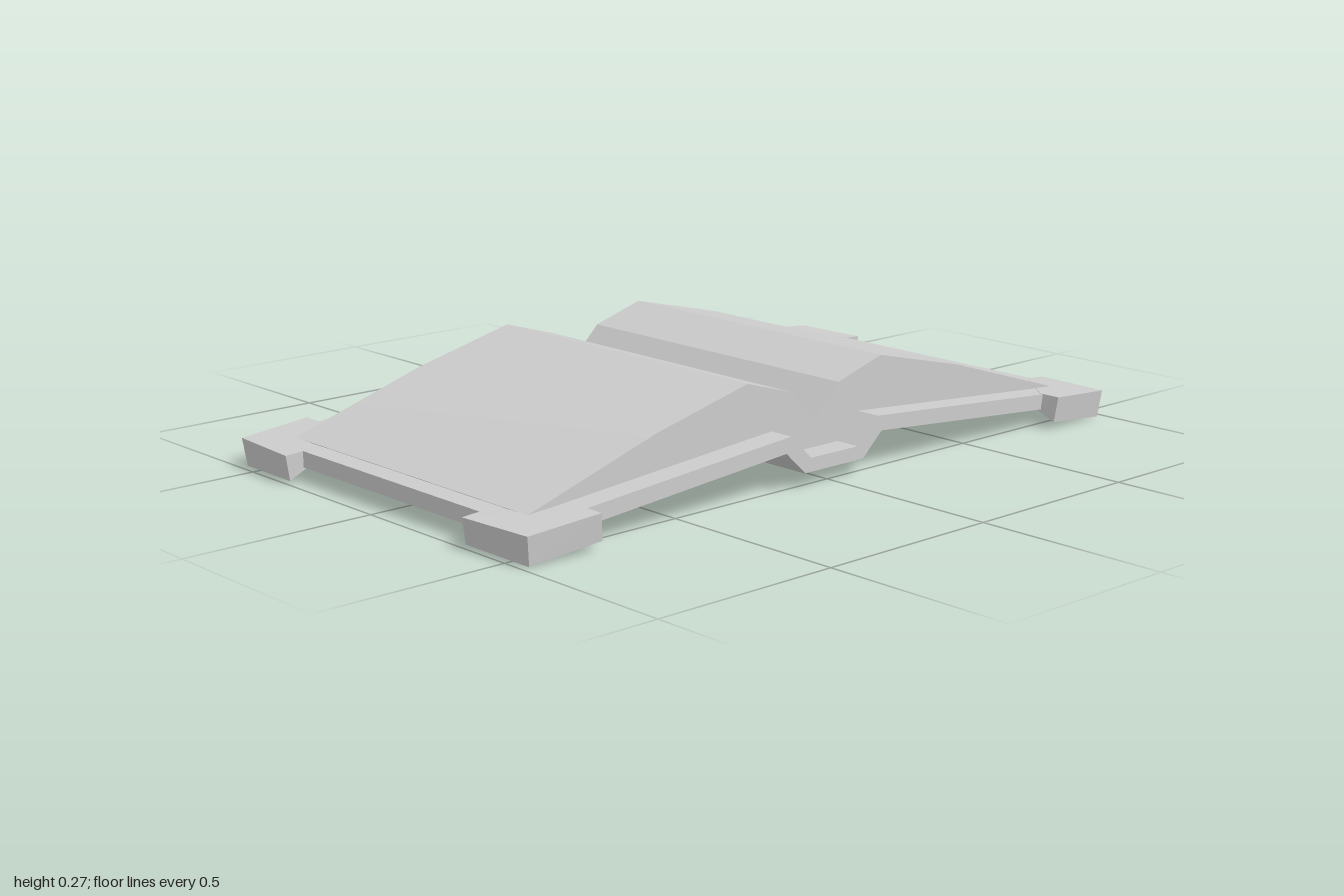
import * as THREE from 'three';
import { toCreasedNormals } from 'three/addons/utils/BufferGeometryUtils.js';
import { ConvexGeometry } from 'three/addons/geometries/ConvexGeometry.js';

const material = new THREE.MeshStandardMaterial({ color: 0xcccccc });

// Extrudes a left-right symmetric outline along z. Both edges run from the centre outwards.
function symmetricSlab(name, upper, lower, depth, crease) {
  const mirror = (pts) => pts.filter(([x]) => x > 0).map(([x, y]) => [-x, y]);
  const outline = [
    ...mirror(lower).reverse(), ...lower,
    ...[...upper].reverse(), ...mirror(upper),
  ];
  const shape = new THREE.Shape(outline.map(([x, y]) => new THREE.Vector2(x, y)));
  const geometry = new THREE.ExtrudeGeometry(shape, { depth, bevelEnabled: false });
  geometry.translate(0, 0, -depth / 2);
  const mesh = new THREE.Mesh(toCreasedNormals(geometry, crease), material);
  mesh.name = name;
  return mesh;
}

// Protective cover corner: flush on top, a tapered triangle below, sloping in to the cover
function coverCorner(sx, sz) {
  const points = [
    // top
    [0.787, 0.09, 0.577], [0.987, 0.074, 0.565], [1, 0.073, 0.35],
    [0.94, 0.077, 0.35], [0.787, 0.09, 0.515],
    // underside triangle
    [0.78, 0.023, 0.57], [0.978, 0.002, 0.558], [0.99, 0.008, 0.35],
    // inner edge where it meets the cover
    [0.93, 0.037, 0.35], [0.78, 0.049, 0.505],
  ].map(([x, y, z]) => new THREE.Vector3(x * sx, y, z * sz));
  const mesh = new THREE.Mesh(new ConvexGeometry(points), material);
  mesh.name = `${sz > 0 ? 'front' : 'back'}${sx > 0 ? 'Left' : 'Right'}Corner`;
  return mesh;
}

export function createModel() {
  const book = new THREE.Group();
  book.name = 'openBook';

  // Cover boards and spine
  book.add(symmetricSlab('cover',
    [[0.08, 0.075], [0.15, 0.14], [0.95, 0.076]],
    [[0.1, 0.04], [0.165, 0.1], [0.95, 0.035]],
    1.05, 0.2));

  // Two page blocks meeting in the gutter
  book.add(symmetricSlab('pages',
    [[0, 0.145], [0.08, 0.225], [0.23, 0.27], [0.52, 0.2], [0.9, 0.081]],
    [[0.08, 0.07], [0.15, 0.135], [0.9, 0.075]],
    0.915, 0.4));

  // Cover corners
  for (const sx of [-1, 1]) for (const sz of [-1, 1]) book.add(coverCorner(sx, sz));

  return book;
}
